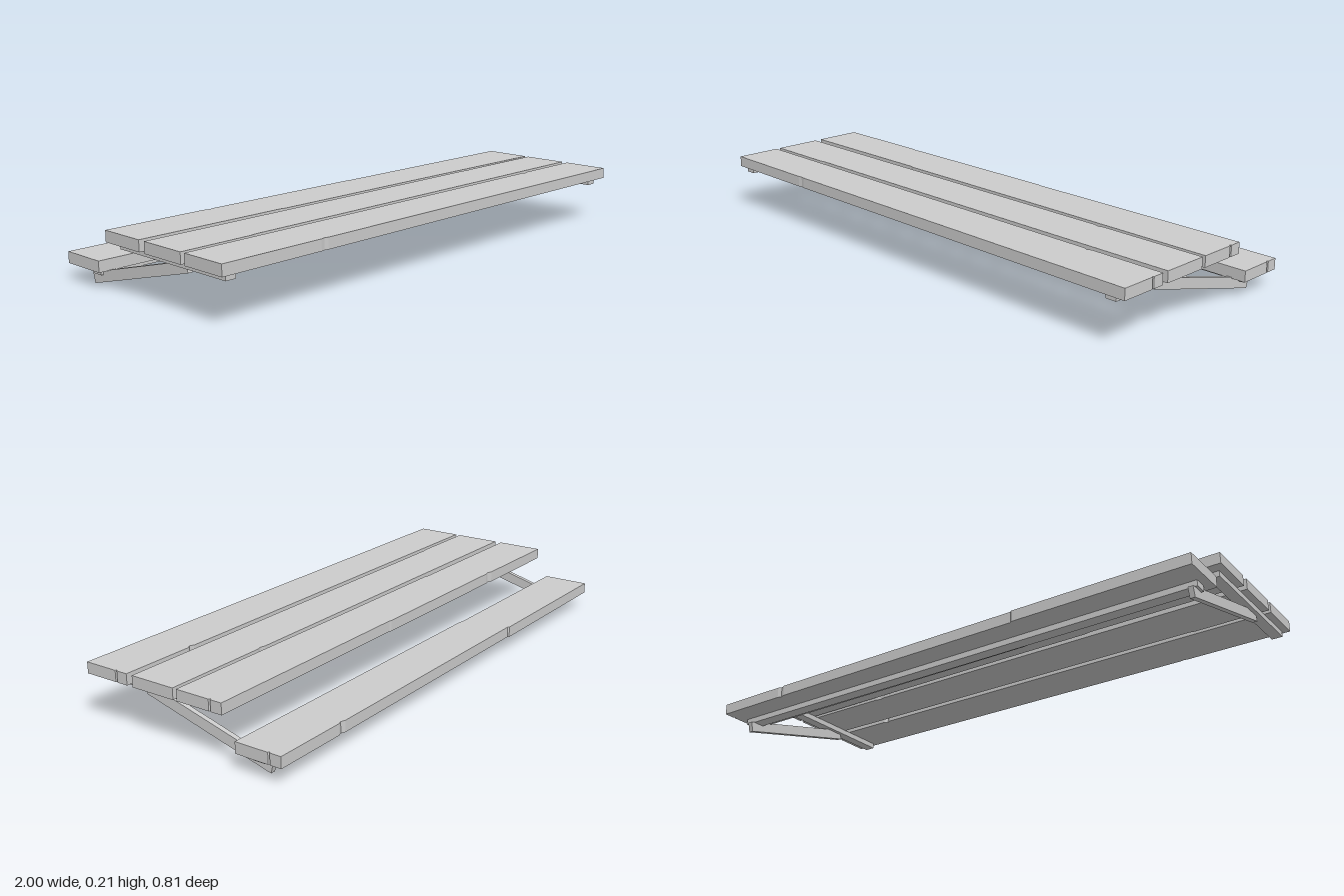
import * as THREE from 'three';

const material = new THREE.MeshStandardMaterial({ color: 0xcccccc, flatShading: true });
const PLANK_THICKNESS = 0.04;

function add(group, name, geometry, x, y, z) {
  const mesh = new THREE.Mesh(geometry, material);
  mesh.name = name;
  mesh.position.set(x, y, z);
  group.add(mesh);
  return mesh;
}

// Slightly uneven plank outline, as [x, z] points, with its underside at y
function addPlank(group, name, y, outline) {
  const shape = new THREE.Shape(outline.map(([x, z]) => new THREE.Vector2(x, -z)));
  const geometry = new THREE.ExtrudeGeometry(shape, { depth: PLANK_THICKNESS, bevelEnabled: false });
  geometry.rotateX(-Math.PI / 2);
  add(group, name, geometry, 0, y, 0);
}

// Worn right-hand end with two small chips between z0 (back) and z1 (front)
function chippedEnd(z0, z1) {
  const at = (t) => z0 + (z1 - z0) * t;
  return [[1, z1], [1, at(0.28)], [0.994, at(0.26)], [1, at(0.24)], [1, z0]];
}

export function createModel() {
  const group = new THREE.Group();
  group.name = 'plankBench';

  // Three upper planks, front to back
  addPlank(group, 'frontPlank', 0.175, [
    [-1, 0.4], [-0.6, 0.4], [-0.585, 0.397], [-0.57, 0.4],
    ...chippedEnd(0.224, 0.402),
    [0.72, 0.224], [0.706, 0.232], [0.69, 0.225], [-1, 0.226],
  ]);
  addPlank(group, 'middlePlank', 0.175, [
    [-1, 0.208], [-0.72, 0.208], [-0.7, 0.204], [0.53, 0.202], [1, 0.2],
    [1, 0.026], [0.6, 0.026], [0.58, 0.031], [0.56, 0.026], [-1, 0.027],
  ]);
  addPlank(group, 'backPlank', 0.175, [
    [-1, 0], [-0.41, 0], [-0.39, 0.004], [0.24, 0.006],
    ...chippedEnd(-0.172, 0.011),
    [0.12, -0.174], [0.11, -0.177], [-0.56, -0.177], [-0.58, -0.173], [-0.6, -0.179], [-1, -0.18],
  ]);

  // Lower plank behind, with the rail beneath it
  addPlank(group, 'lowerPlank', 0.063, [
    [-1, -0.228], [-0.3, -0.228], [-0.28, -0.224],
    ...chippedEnd(-0.395, -0.219),
    [0.72, -0.397], [0.706, -0.392], [0.69, -0.398], [-0.34, -0.4], [-0.345, -0.405], [-1, -0.405],
  ]);
  add(group, 'lowerRail', new THREE.BoxGeometry(1.94, 0.021, 0.046), 0, 0.0525, -0.285);

  // Cleat and sloping leg at each end
  for (const [side, cleatX, legX] of [['left', 0.935, 0.939], ['right', -0.955, -0.952]]) {
    add(group, side + 'Cleat', new THREE.BoxGeometry(0.04, 0.02, 0.523), cleatX, 0.165, 0.124);
    const leg = add(group, side + 'Leg', new THREE.BoxGeometry(0.018, 0.038, 0.521), legX, 0.0885, -0.065);
    leg.rotation.x = -Math.atan2(0.134, 0.504);
  }
  return group;
}
